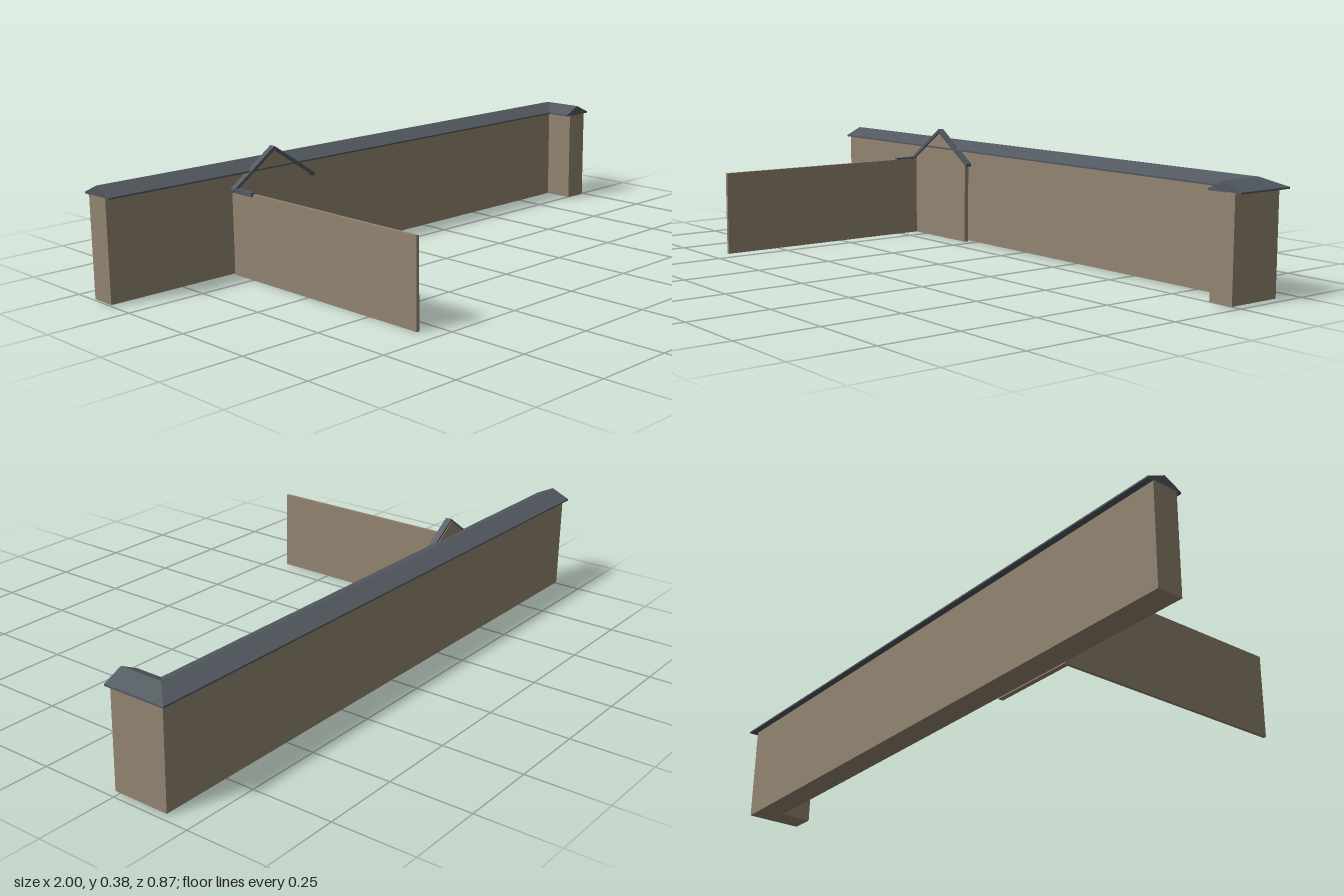
import * as THREE from 'three';

const wallMat = new THREE.MeshStandardMaterial({ color: 0x918370 });
wallMat.name = 'tan wall';
const roofMat = new THREE.MeshStandardMaterial({ color: 0x51585f });
roofMat.name = 'slate roof';

function addMesh(group, name, geometry, material) {
  const mesh = new THREE.Mesh(geometry, material);
  mesh.name = name;
  group.add(mesh);
  return mesh;
}

// Box given by its lower and upper corners
function boxBetween([x0, y0, z0], [x1, y1, z1]) {
  return new THREE.BoxGeometry(x1 - x0, y1 - y0, z1 - z0)
    .translate((x0 + x1) / 2, (y0 + y1) / 2, (z0 + z1) / 2);
}

function extrude(points, depth) {
  const shape = new THREE.Shape(points.map(([x, y]) => new THREE.Vector2(x, y)));
  return new THREE.ExtrudeGeometry(shape, { depth, bevelEnabled: false });
}

// Joins closed cross-section rings with flat faces and caps both ends
function loft(rings) {
  const pos = [];
  const tri = (a, b, c) => pos.push(...a, ...b, ...c);
  const n = rings[0].length;
  for (let r = 0; r < rings.length - 1; r++) {
    const A = rings[r], B = rings[r + 1];
    for (let i = 0; i < n; i++) {
      const j = (i + 1) % n;
      tri(A[i], A[j], B[j]);
      tri(A[i], B[j], B[i]);
    }
  }
  const first = rings[0], last = rings[rings.length - 1];
  for (let i = 1; i < n - 1; i++) {
    tri(first[0], first[i + 1], first[i]);
    tri(last[0], last[i], last[i + 1]);
  }
  const geometry = new THREE.BufferGeometry();
  geometry.setAttribute('position', new THREE.Float32BufferAttribute(pos, 3));
  geometry.computeVertexNormals();
  return geometry;
}

export function createModel() {
  const model = new THREE.Group();
  model.name = 'walledRange';

  // Long wall with a short return at its left end (footprint drawn as x, -z)
  const footprint = [
    [-1, 0.335], [0.9, 0.335], [0.9, 0.237], [0.98, 0.237], [0.98, 0.415], [-1, 0.415],
  ];
  const wall = extrude(footprint, 0.306).rotateX(-Math.PI / 2).translate(0, 0.004, 0);
  addMesh(model, 'longWall', wall, wallMat);

  // Pitched roof following the wall, mitred at the corner
  const ridgeX = 0.94, ridgeZ = -0.375;
  const section = [[0.06, 0.308], [0.06, 0.313], [0, 0.34], [-0.056, 0.313], [-0.056, 0.308]];
  const roof = loft([
    section.map(([d, y]) => [-1, y, ridgeZ - d]),
    section.map(([d, y]) => [ridgeX + d, y, ridgeZ - d]),
    section.map(([d, y]) => [ridgeX + d, y, -0.237]),
  ]);
  addMesh(model, 'longRoof', roof, roofMat);

  // Gable front standing against the long wall
  const gable = extrude(
    [[-0.565, 0], [-0.28, 0], [-0.28, 0.272], [-0.42, 0.368], [-0.565, 0.268]], 0.015);
  addMesh(model, 'gableWall', gable.translate(0, 0, -0.335), wallMat);

  // Thin two-sided gable roof
  const chevron = extrude([
    [-0.574, 0.256], [-0.42, 0.364], [-0.264, 0.259],
    [-0.262, 0.269], [-0.42, 0.376], [-0.576, 0.266],
  ], 0.02);
  addMesh(model, 'gableRoof', chevron.translate(0, 0, -0.333), roofMat);

  // Side wall running forward, with a short eave beside the gable
  addMesh(model, 'sideWall', boxBetween([-0.567, 0, -0.335], [-0.557, 0.263, 0.435]), wallMat);
  addMesh(model, 'sideEave', boxBetween([-0.574, 0.256, -0.32], [-0.558, 0.268, -0.238]), roofMat);

  return model;
}
